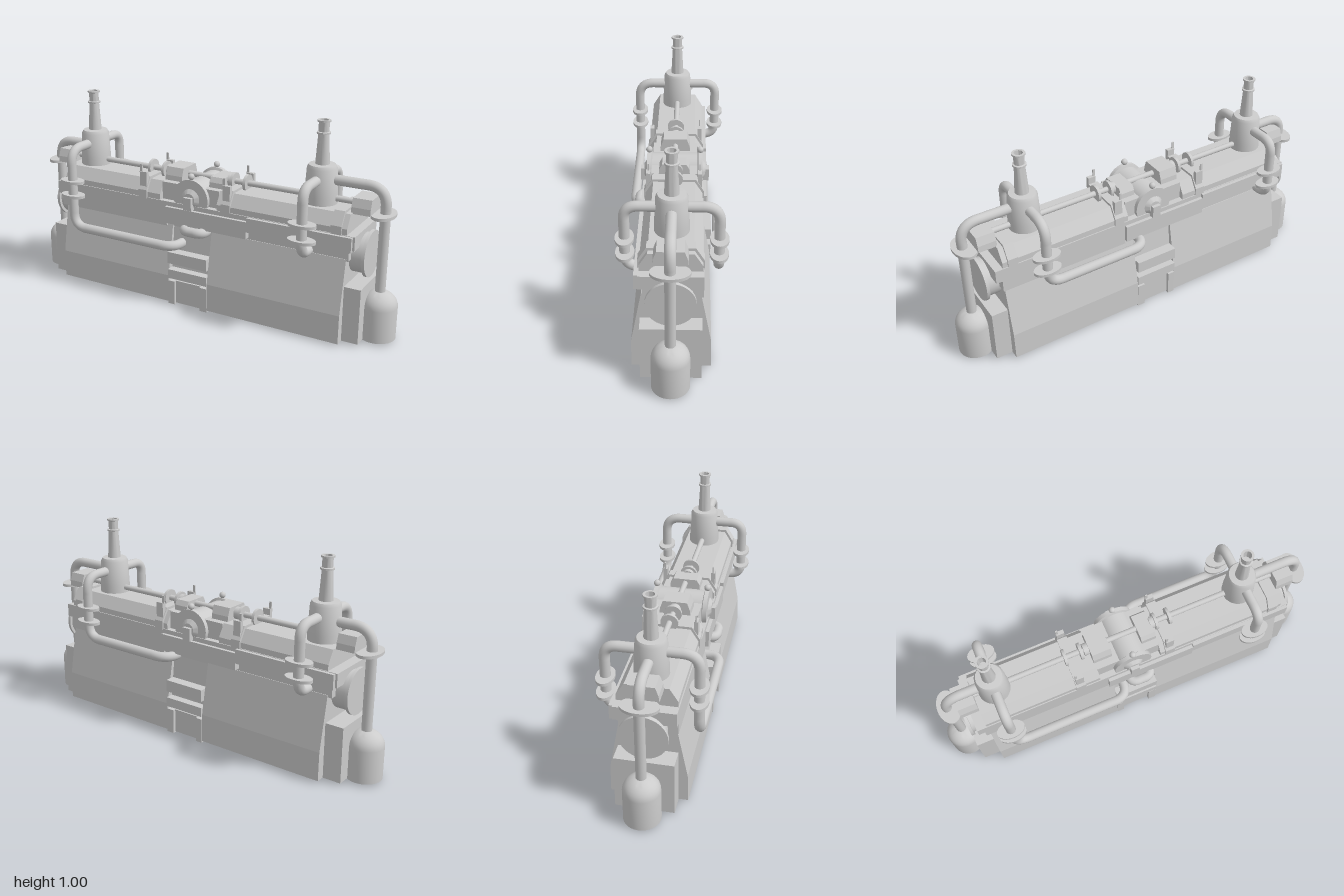
import * as THREE from 'three';
import { toCreasedNormals } from 'three/addons/utils/BufferGeometryUtils.js';

const mat = new THREE.MeshStandardMaterial({ color: 0xcccccc });
const V = (x, y, z) => new THREE.Vector3(x, y, z);

export function createModel() {
  const model = new THREE.Group();
  model.name = 'twinEngine';

  const add = (name, geo, x = 0, y = 0, z = 0) => {
    const m = new THREE.Mesh(geo, mat);
    m.name = name;
    m.position.set(x, y, z);
    model.add(m);
    return m;
  };
  // Box from its two extreme corners
  const box = (name, x0, x1, y0, y1, z0, z1) =>
    add(name, new THREE.BoxGeometry(x1 - x0, y1 - y0, z1 - z0), (x0 + x1) / 2, (y0 + y1) / 2, (z0 + z1) / 2);
  // Symmetric (z, y) half profile, extruded along x
  const profile = (name, x0, x1, half) => {
    const pts = [...half, ...half.slice().reverse().map(([z, y]) => [-z, y])];
    const shape = new THREE.Shape(pts.map(([z, y]) => new THREE.Vector2(z, y)));
    const g = new THREE.ExtrudeGeometry(shape, { depth: x1 - x0, bevelEnabled: false });
    g.rotateY(Math.PI / 2);
    return add(name, g, x0);
  };
  const lathe = (name, pts, x, y, z) => add(name, toCreasedNormals(
    new THREE.LatheGeometry(pts.map(p => new THREE.Vector2(...p)), 32), 0.6), x, y, z);
  const rod = (name, axis, r, len, x, y, z) => {
    const m = add(name, new THREE.CylinderGeometry(r, r, len, 32), x, y, z);
    if (axis === 'x') m.rotation.z = Math.PI / 2;
    if (axis === 'z') m.rotation.x = Math.PI / 2;
    return m;
  };
  // Pipe through corner points with rounded bends
  const pipe = (name, pts, bend = 0.085, r = 0.024) => {
    const path = new THREE.CurvePath();
    let last = pts[0];
    for (let i = 1; i < pts.length - 1; i++) {
      const c = pts[i];
      const toward = p => c.clone().add(p.clone().sub(c).setLength(Math.min(bend, p.distanceTo(c) * 0.5)));
      const a = toward(pts[i - 1]), b = toward(pts[i + 1]);
      path.add(new THREE.LineCurve3(last, a));
      path.add(new THREE.QuadraticBezierCurve3(a, c.clone().lerp(a.clone().add(b).multiplyScalar(0.5), -0.12), b));
      last = b;
    }
    path.add(new THREE.LineCurve3(last, pts[pts.length - 1]));
    add(name, new THREE.TubeGeometry(path, 90, r, 16));
  };
  const flange = (name, x, y, z, rx, rz) => {
    const m = add(name, new THREE.CylinderGeometry(1, 1, 0.014, 32), x, y, z);
    m.scale.set(rx, 1, rz);
  };

  // Lower casing: two flared halves around a narrower core
  const flare = [[0.178, 0.01], [0.176, 0.15], [0.128, 0.41]];
  profile('leftCasing', 0.10, 0.79, flare);
  profile('rightCasing', -0.78, -0.12, flare);
  profile('casingCore', -0.12, 0.10, [[0.145, 0.015], [0.145, 0.15], [0.115, 0.42]]);

  // Steps and feet in the gap, front and back
  for (const s of [1, -1]) {
    const zBox = (name, x0, x1, y0, y1, z) => box(name, x0, x1, y0, y1, Math.min(s * 0.08, s * z), Math.max(s * 0.08, s * z));
    zBox('upperStep', -0.12, 0.10, 0.22, 0.28, 0.183);
    zBox('lowerStep', -0.12, 0.10, 0.14, 0.187, 0.183);
    zBox('footPanel', -0.09, 0.07, 0.005, 0.125, 0.165);
    zBox('foot', -0.12, -0.085, 0, 0.125, 0.18);
    zBox('foot', 0.06, 0.10, 0, 0.125, 0.18);
    // Stepped ledges, turned half round on the back
    const ledge = (name, x0, x1, y0, y1, z) => zBox(name, Math.min(s * x0, s * x1), Math.max(s * x0, s * x1), y0, y1, z);
    ledge('lowLedge', -0.80, -0.15, 0.40, 0.46, 0.14);
    ledge('middleLedge', -0.15, 0.30, 0.42, 0.505, 0.157);
    ledge('highLedge', 0.30, 0.82, 0.455, 0.525, 0.157);
  }
  box('deck', -0.83, 0.83, 0.46, 0.527, -0.14, 0.14);
  box('deckBase', -0.80, 0.80, 0.40, 0.46, -0.125, 0.125);

  // Chamfered housings on the deck
  const housing = [[0.135, 0.525], [0.135, 0.555], [0.098, 0.615]];
  profile('rightHousing', -0.78, -0.19, housing);
  profile('leftHousing', 0.13, 0.79, housing);
  rod('topShaft', 'x', 0.014, 1.56, 0, 0.643, 0);

  // Saddle bands, collars and pins over the housings
  for (const [x, c] of [[-0.29, -0.235], [0.18, 0.225], [0.74, 0.77]]) {
    profile('saddleBand', x - 0.025, x + 0.025, [[0.142, 0.52], [0.142, 0.565], [0.104, 0.627]]);
    if (x > 0.5) continue;
    for (const cx of [c, x - 0.025]) rod('shaftCollar', 'x', 0.042, 0.014, cx, 0.643, 0);
    for (const z of [0.122, -0.122]) {
      box('sideBracket', x - 0.02, x + 0.02, 0.55, 0.655, z - 0.01, z + 0.01);
      box('bracketPin', x - 0.022, x - 0.01, 0.65, 0.69, z - 0.003, z + 0.003);
    }
  }

  // Shaft boxes beside the drum and at both ends
  const boxHalf = top => [[0.075, 0.61], [0.072, 0.64], [0.058, top]];
  for (const [x0, x1, top] of [[-0.195, -0.10, 0.68], [0.055, 0.13, 0.665], [-0.87, -0.78, 0.68], [0.78, 0.87, 0.68]])
    profile('shaftBox', x0, x1, boxHalf(top));
  for (const x of [-0.205, 0.14]) rod('shaftBoss', 'x', 0.03, 0.03, x, 0.643, 0);
  box('drumCradle', -0.19, 0.13, 0.50, 0.615, -0.11, 0.11);

  // Central cross drum with dished wheels
  const drum = lathe('crossDrum', [[0, -0.15], [0.03, -0.15], [0.05, -0.135], [0.096, -0.135], [0.096, -0.115], [0.083, -0.11],
    [0.083, 0.11], [0.096, 0.115], [0.096, 0.135], [0.05, 0.135], [0.03, 0.15], [0, 0.15]], -0.015, 0.56, 0);
  drum.rotation.x = Math.PI / 2;
  for (const s of [1, -1]) {
    box('wheelLug', -0.037, 0.007, 0.51, 0.572, s * 0.15 - 0.018, s * 0.15 + 0.018);
    add('drumKnob', new THREE.SphereGeometry(0.016, 16, 12), -0.015, 0.67, s * 0.125);
  }

  for (const s of [1, -1]) {
    // End block, round end cover and domed tank
    box('endBlock', Math.min(s * 0.78, s * 0.87), Math.max(s * 0.78, s * 0.87), 0.01, 0.28, -0.135, 0.135);
    rod('endDrum', 'x', 0.095, 0.10, s * 0.81, 0.41, 0);
    rod('endCover', 'x', 0.11, 0.015, s * 0.86, 0.41, 0);
    const dome = Array.from({ length: 9 }, (_, i) => {
      const a = i / 8 * Math.PI / 2;
      return [0.085 * Math.cos(a), 0.165 + 0.075 * Math.sin(a)];
    });
    lathe('endTank', [[0, 0.008], [0.085, 0.008], ...dome], s * 0.915, 0, 0);

    // Stack with its tapered base
    const x = s > 0 ? 0.605 : -0.677, y = s > 0 ? 0.73 : 0.71;
    lathe('stack', [[0, 0.59], [0.078, 0.59], [0.077, 0.65], [0.07, 0.78], [0.062, 0.795], [0.033, 0.797], [0.025, 0.935],
      [0.032, 0.937], [0.032, 0.945], [0.024, 0.947], [0.025, 0.99], [0.031, 0.992], [0.031, 1], [0.02, 1],
      [0.018, 0.95], [0, 0.95]], x, 0, 0);

    // Pipe from the tank up to the stack
    pipe('tankPipe', [V(s * 0.915, 0.2, 0), V(s * 0.915, y, 0), V(x, y, 0)], 0.1);
    flange('tankPipeFlange', s * 0.907, 0.605, 0, 0.055, 0.085);

    // Side pipes: one long run and one short drop per stack
    const longZ = s < 0 ? 0.207 : -0.207, shortZ = -longZ;
    const runY = s < 0 ? 0.32 : 0.405, endX = s < 0 ? -0.07 : 0.075;
    pipe('longSidePipe', [V(x, 0.73, 0), V(x, 0.73, longZ), V(x, runY, longZ), V(endX, runY, longZ), V(endX, runY, 0)]);
    pipe('shortSidePipe', [V(x, 0.73, 0), V(x, 0.73, shortZ), V(x, 0.42, shortZ), V(x, 0.42, 0)], 0.07);
    for (const z of [longZ, shortZ])
      for (const fy of [0.566, 0.49]) flange('sidePipeFlange', x, fy, z, 0.068, 0.042);
  }

  // Short pipe loop at the front centre
  pipe('frontLoop', [V(0.07, 0.405, 0.08), V(0.07, 0.405, 0.175), V(-0.04, 0.405, 0.175), V(-0.04, 0.405, 0.08)], 0.045);

  return model;
}
